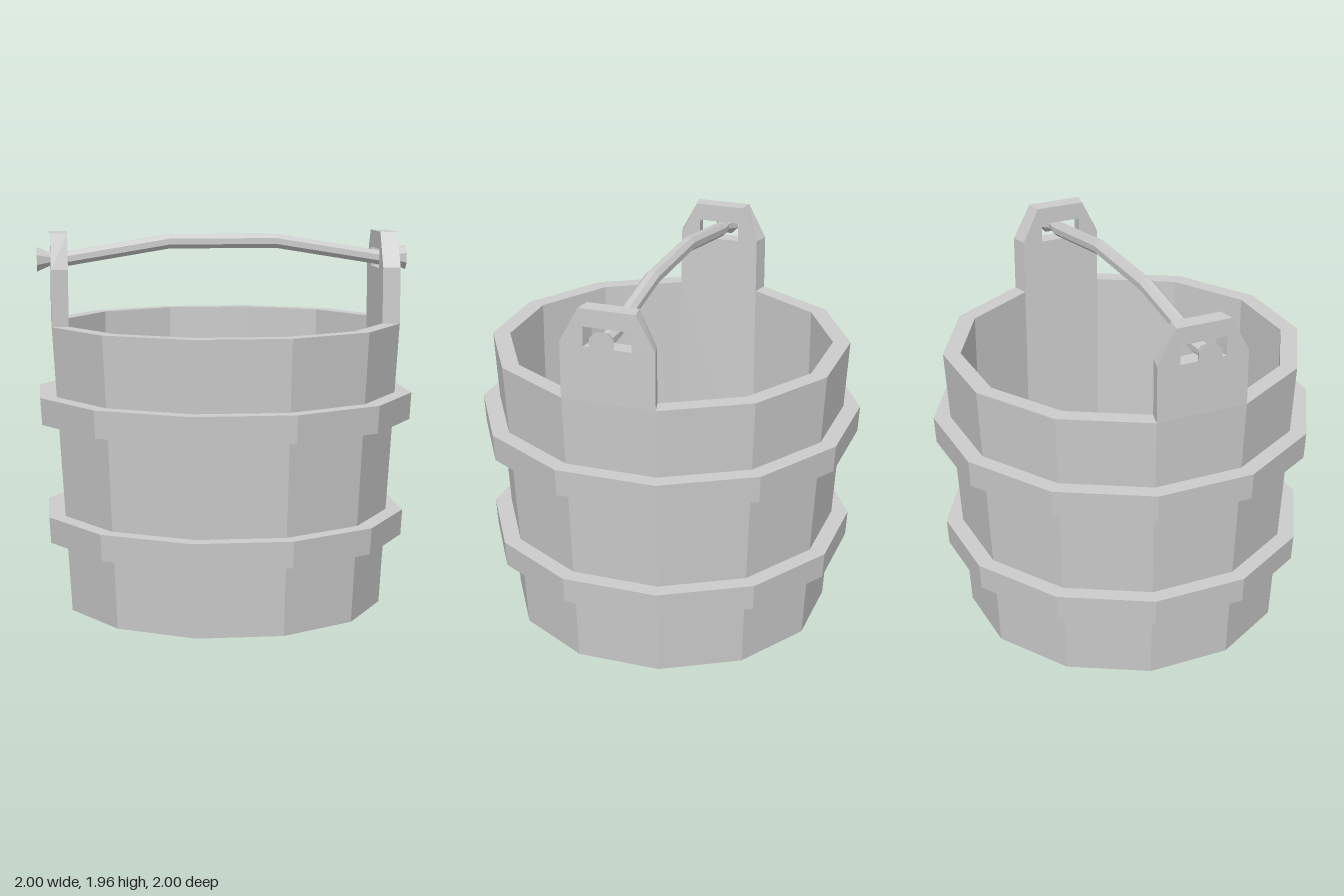
import * as THREE from 'three';

const SIDES = 12;
const RIM_Y = 1.49, RIM_OUT = 0.932, RIM_IN = 0.842, BASE_R = 0.842;

const material = new THREE.MeshStandardMaterial({ color: 0xcccccc, flatShading: true });

// Outer radius of the tapered wall at height y
const wallR = (y) => BASE_R + (RIM_OUT - BASE_R) * (y / RIM_Y);

function add(parent, name, geometry) {
  const mesh = new THREE.Mesh(geometry, material);
  mesh.name = name;
  parent.add(mesh);
  return mesh;
}

function lathe(points) {
  return new THREE.LatheGeometry(points.map(([r, y]) => new THREE.Vector2(r, y)), SIDES);
}

// Hoop hugging the wall between two heights
function hoopGeometry(y0, y1) {
  const t = 0.088;
  return lathe([
    [wallR(y0), y0], [wallR(y0) + t, y0],
    [wallR(y1) + t, y1], [wallR(y1), y1], [wallR(y0), y0],
  ]);
}

// Upright lug: one rim facet carried upward, with clipped corners and a slot
function lugGeometry() {
  const apothem = Math.cos(Math.PI / SIDES);
  const outer = RIM_OUT * apothem, inner = RIM_IN * apothem;
  const w = RIM_OUT * Math.sin(Math.PI / SIDES), top = 0.145;
  const shape = new THREE.Shape([
    [-w, RIM_Y], [w, RIM_Y], [w, 1.78], [top, 1.96], [-top, 1.96], [-w, 1.78],
  ].map(([x, y]) => new THREE.Vector2(x, y)));
  shape.holes.push(new THREE.Path([
    [-0.122, 1.77], [-0.122, 1.87], [0.122, 1.87], [0.122, 1.77],
  ].map(([x, y]) => new THREE.Vector2(x, y))));
  const geo = new THREE.ExtrudeGeometry(shape, { depth: outer - inner, bevelEnabled: false });
  geo.translate(0, 0, inner);
  // Narrow the inner face so the sides stay radial
  const p = geo.attributes.position;
  for (let i = 0; i < p.count; i++) p.setX(i, p.getX(i) * p.getZ(i) / outer);
  geo.computeVertexNormals();
  return geo;
}

// Bent bar with flared ends, from stations of [distance, height, radius]
function handleGeometry() {
  const half = [[0.28, 1.91, 0.04], [0.83, 1.82, 0.04], [0.9, 1.82, 0.034], [0.97, 1.82, 0.067]];
  const stations = [...half.map(([d, y, r]) => [-d, y, r]).reverse(), ...half];
  const n = stations.length - 1;
  const geo = new THREE.CylinderGeometry(1, 1, n, 8, n, false, Math.PI / 8);
  const p = geo.attributes.position;
  for (let i = 0; i < p.count; i++) {
    const [d, y, r] = stations[Math.round(p.getY(i) + n / 2)];
    p.setXYZ(i, p.getX(i) * r, y + p.getZ(i) * r, d);
  }
  // The remap (x, y, z) -> (x, z, y) mirrors the faces, so turn them back
  const index = geo.index.array;
  for (let i = 0; i < index.length; i += 3) {
    [index[i], index[i + 1]] = [index[i + 1], index[i]];
  }
  geo.computeVertexNormals();
  return geo;
}

export function createModel() {
  const bucket = new THREE.Group();
  bucket.name = 'bucket';

  // Tub: recessed underside, tapered outside, straight inside and floor
  add(bucket, 'tub', lathe([
    [0, 0.1], [0.76, 0.1], [0.76, 0], [BASE_R, 0],
    [RIM_OUT, RIM_Y], [RIM_IN, RIM_Y], [RIM_IN, 0.15], [0, 0.15],
  ]));

  // Hoops
  add(bucket, 'lowerHoop', hoopGeometry(0.37, 0.505));
  add(bucket, 'upperHoop', hoopGeometry(0.99, 1.13));

  // Lugs and handle lie on one diagonal
  const carrier = new THREE.Group();
  carrier.name = 'handleAssembly';
  carrier.rotation.y = -Math.PI / 4;
  bucket.add(carrier);
  const lug = lugGeometry();
  add(carrier, 'rightLug', lug);
  add(carrier, 'leftLug', lug).rotation.y = Math.PI;
  add(carrier, 'handle', handleGeometry());

  return bucket;
}
